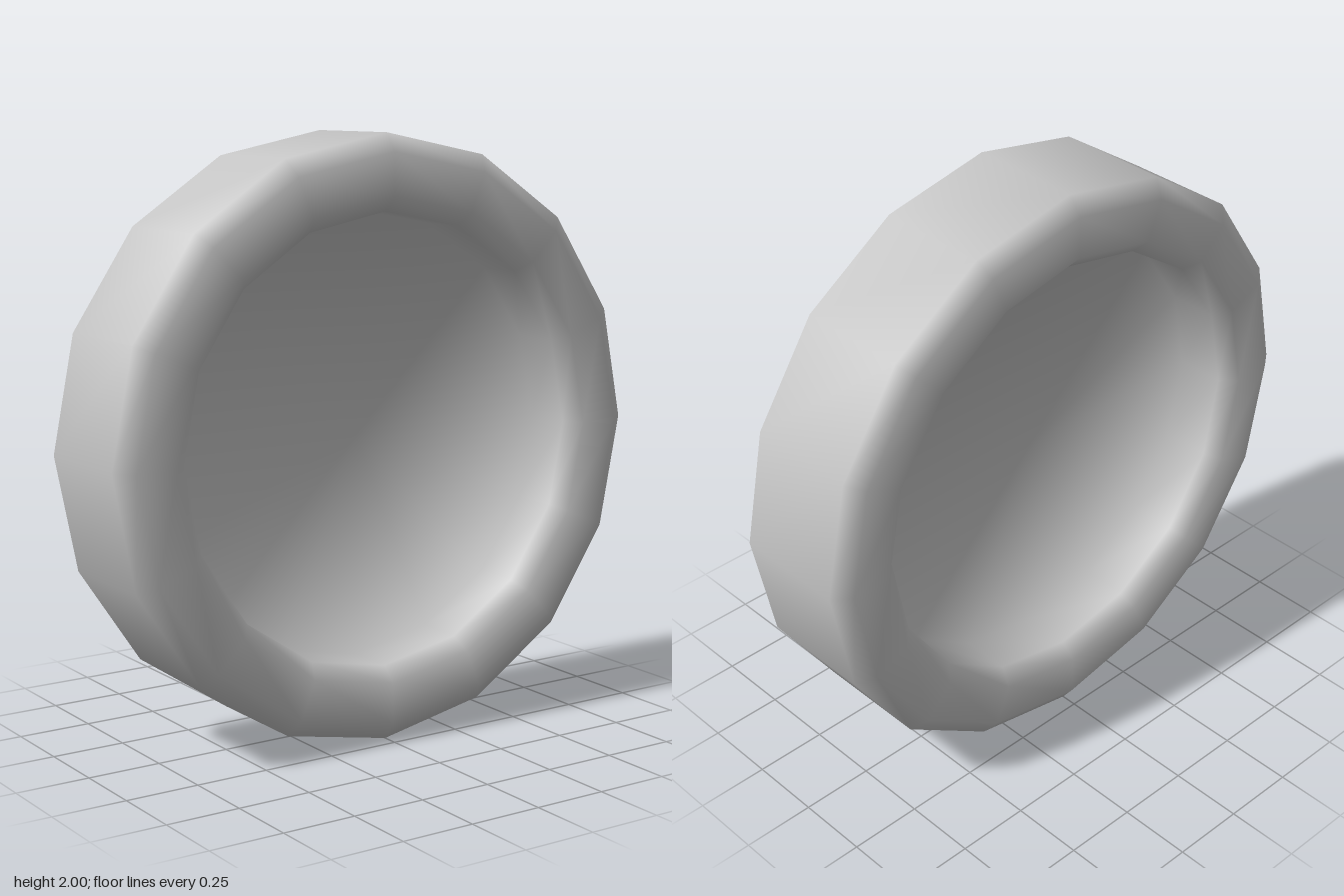
import * as THREE from 'three';

const SIDES = 16;

// Half cross-section as [radius, depth], from the hub centre out to the tread
const HALF = [
  [0, 0.02],     // hub centre
  [0.75, 0.02],  // hub edge, deep inside the rim
  [0.75, 0.19],  // rim wall
  [0.8, 0.24],   // inner bevel
  [0.94, 0.24],  // sidewall
  [1, 0.195],    // outer bevel, start of tread
];

// Outward normal at each profile point: even average of the two adjoining segments,
// so the flat hub shades like a soft bowl and the bevels blend into the sidewalls
function profileNormals(points) {
  const segments = points.slice(1).map((p, i) => {
    const d = p.clone().sub(points[i]);
    return new THREE.Vector2(d.y, -d.x).normalize();
  });
  return points.map((_, i) => {
    const before = segments[Math.max(i - 1, 0)];
    const after = segments[Math.min(i, segments.length - 1)];
    return before.clone().add(after).normalize();
  });
}

// Revolve a profile around y with evenly blended normals
function revolve(points) {
  const geometry = new THREE.LatheGeometry(points, SIDES);
  const normals = profileNormals(points);
  const attribute = geometry.attributes.normal;
  for (let i = 0; i <= SIDES; i++) {
    const angle = (i / SIDES) * Math.PI * 2;
    normals.forEach((n, j) => {
      attribute.setXYZ(i * points.length + j, n.x * Math.sin(angle), n.y, n.x * Math.cos(angle));
    });
  }
  return geometry;
}

export function createModel() {
  const group = new THREE.Group();
  group.name = 'wheel';

  // Mirror the half section so both faces are recessed alike
  const back = HALF.map(([r, d]) => new THREE.Vector2(r, -d));
  const front = HALF.map(([r, d]) => new THREE.Vector2(r, d)).reverse();

  const geometry = revolve([...back, ...front]);
  geometry.rotateX(Math.PI / 2);
  geometry.translate(0, 1, 0);

  const wheel = new THREE.Mesh(geometry, new THREE.MeshStandardMaterial({ color: 0xcccccc }));
  wheel.name = 'tyreAndHub';
  group.add(wheel);
  return group;
}
